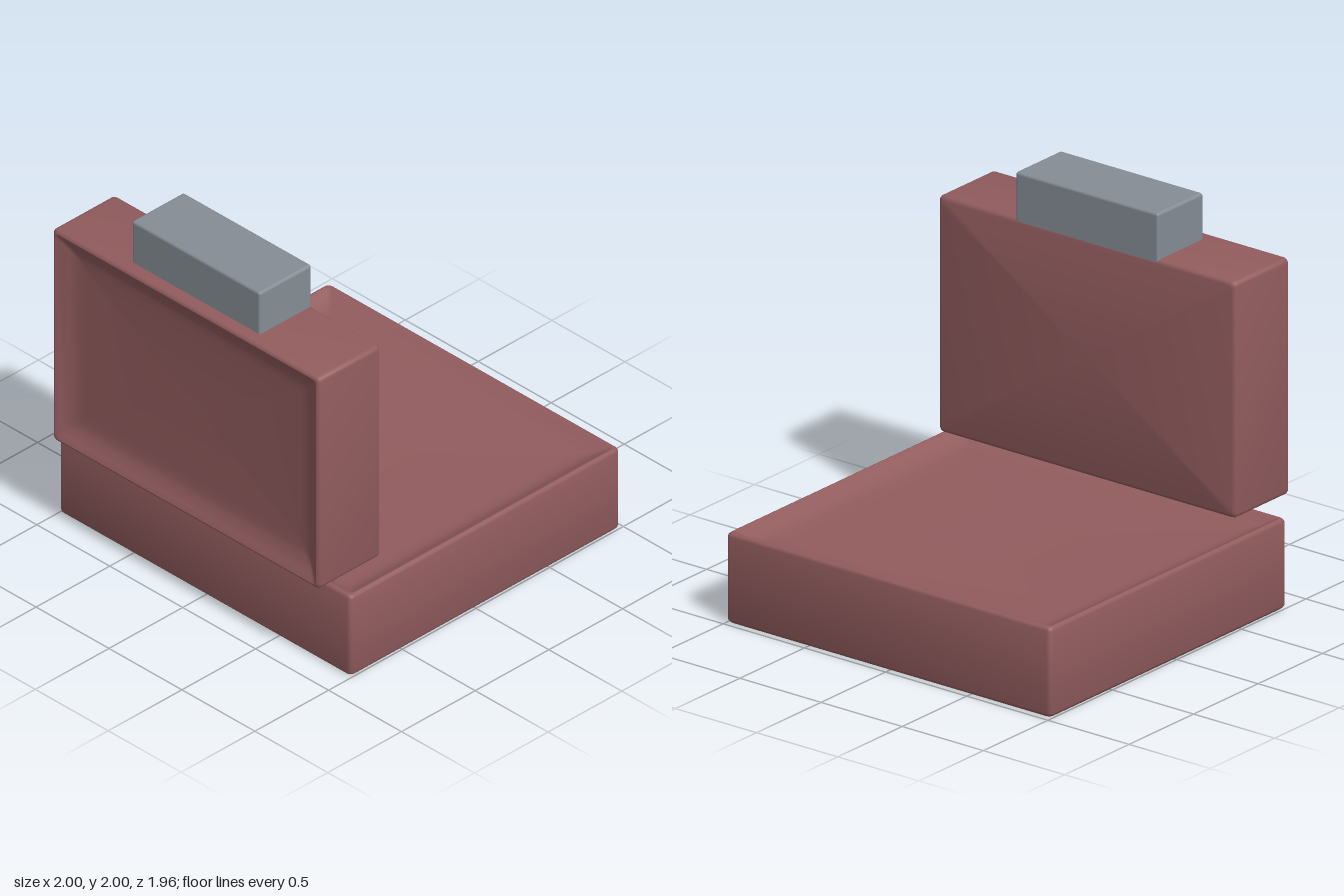
import * as THREE from 'three';
import { toCreasedNormals } from 'three/addons/utils/BufferGeometryUtils.js';
import { RoundedBoxGeometry } from 'three/addons/geometries/RoundedBoxGeometry.js';

// Outline of a rounded rectangle in the xz plane
function outline(halfX, halfZ, radius, steps = 4) {
  const points = [];
  const signs = [[1, 1], [-1, 1], [-1, -1], [1, -1]];
  signs.forEach(([sx, sz], corner) => {
    for (let i = 0; i <= steps; i++) {
      const a = (corner + i / steps) * Math.PI / 2;
      points.push([
        sx * (halfX - radius) + Math.cos(a) * radius,
        sz * (halfZ - radius) + Math.sin(a) * radius,
      ]);
    }
  });
  return points;
}

// Bevelled block, standing on y = 0, with a shallow dish sunk into its top
function dishedBlock(width, height, depth) {
  // [inset from the sides, y]
  const profile = [
    [0.022, 0], [0.012, 0.003], [0.003, 0.012], [0, 0.022],
    [0, height - 0.02], [0.003, height - 0.01], [0.01, height - 0.003], [0.018, height],
    [0.026, height - 0.003], [0.05, height - 0.018], [0.08, height - 0.035],
    [0.11, height - 0.046], [0.14, height - 0.052], [0.18, height - 0.055],
  ];
  const positions = [];
  const index = [];
  let count = 0;
  for (const [inset, y] of profile) {
    const ring = outline(width / 2 - inset, depth / 2 - inset, 0.025);
    count = ring.length;
    for (const [x, z] of ring) positions.push(x, y, z);
  }
  const last = profile.length - 1;
  const bottom = positions.length / 3;
  positions.push(0, 0, 0, 0, profile[last][1], 0);
  for (let j = 0; j < count; j++) {
    const k = (j + 1) % count;
    for (let i = 0; i < last; i++) {
      const a = i * count, b = a + count;
      index.push(a + j, b + j, a + k, b + j, b + k, a + k);
    }
    index.push(bottom, j, k, bottom + 1, last * count + k, last * count + j);
  }
  const geometry = new THREE.BufferGeometry();
  geometry.setAttribute('position', new THREE.Float32BufferAttribute(positions, 3));
  geometry.setIndex(index);
  return toCreasedNormals(geometry, 0.6);
}

export function createModel() {
  const group = new THREE.Group();
  const red = new THREE.MeshStandardMaterial({ color: 0x925c5e });
  const grey = new THREE.MeshStandardMaterial({ color: 0x858d95 });

  const add = (name, geometry, material, x, y, z) => {
    const mesh = new THREE.Mesh(geometry, material);
    mesh.name = name;
    mesh.position.set(x, y, z);
    group.add(mesh);
    return mesh;
  };

  // Seat cushion, dished on top
  add('seatCushion', dishedBlock(2, 0.47, 1.83), red, 0, 0, -0.065);

  // Backrest, the same kind of block turned so its dish faces the front
  const back = add('backrest', dishedBlock(1.83, 0.425, 1.23), red, 0, 1.145, 0.557);
  back.rotation.x = Math.PI / 2;

  // Headrest, let slightly into the top of the backrest
  add('headrest', new RoundedBoxGeometry(0.88, 0.28, 0.352, 3, 0.015), grey, 0, 1.86, 0.735);

  return group;
}
